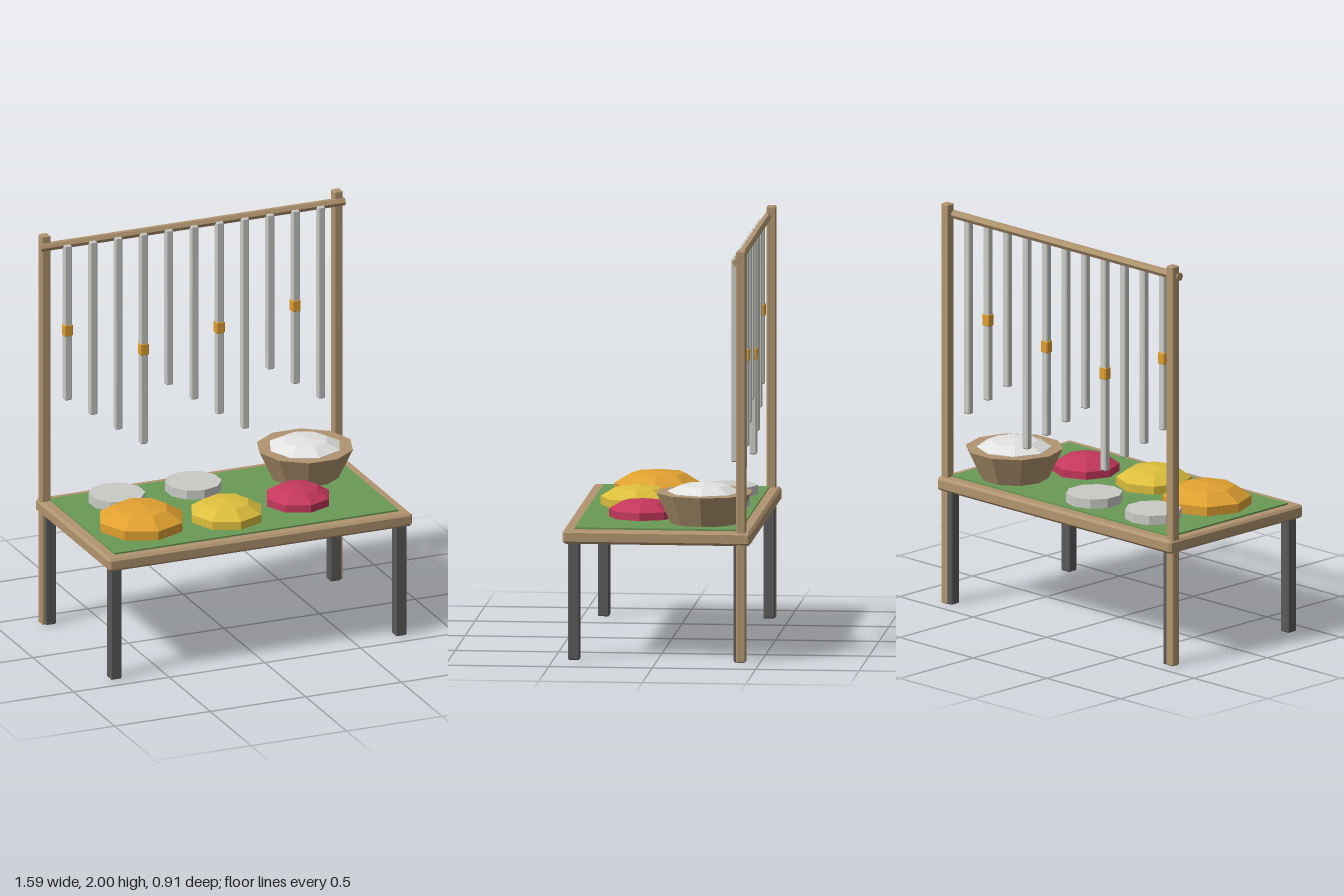
import * as THREE from 'three';
import { ConvexGeometry } from 'three/addons/geometries/ConvexGeometry.js';

const mat = (name, color) => new THREE.MeshStandardMaterial({ name, color, flatShading: true });

// Box with chamfered edges
function chamferBox(w, h, d, b) {
  const pts = [];
  for (const x of [-w / 2, w / 2]) for (const y of [-h / 2, h / 2]) for (const z of [-d / 2, d / 2]) {
    const bx = b * Math.sign(x), by = b * Math.sign(y), bz = b * Math.sign(z);
    pts.push(
      new THREE.Vector3(x, y - by, z - bz),
      new THREE.Vector3(x - bx, y, z - bz),
      new THREE.Vector3(x - bx, y - by, z));
  }
  return new ConvexGeometry(pts);
}

export function createModel() {
  const group = new THREE.Group();
  const wood = mat('wood', 0xb0946f);
  const cloth = mat('green cloth', 0x6a9955);
  const iron = mat('dark iron', 0x5a5a5a);
  const pale = mat('pale grey', 0xcacac6);
  const orange = mat('orange', 0xe0a030);
  const yellow = mat('yellow', 0xdcbe3c);
  const red = mat('crimson', 0xc4385c);
  const white = mat('white', 0xe2e2e0);

  const add = (name, geometry, material, x, y, z) => {
    const mesh = new THREE.Mesh(geometry, material);
    mesh.name = name;
    mesh.position.set(x, y, z);
    group.add(mesh);
    return mesh;
  };

  // Table top and cloth
  add('tableTop', chamferBox(1.59, 0.066, 0.91, 0.012), wood, 0, 0.6, 0);
  add('clothCover', new THREE.BoxGeometry(1.485, 0.012, 0.8), cloth, 0, 0.635, 0);

  // Legs and tall back posts
  const legGeo = chamferBox(0.056, 0.57, 0.056, 0.005);
  const postGeo = chamferBox(0.046, 2, 0.046, 0.005);
  for (const s of [-1, 1]) {
    for (const z of [-0.4, 0.4]) add('leg', legGeo, iron, s * 0.745, 0.285, z);
    add('post', postGeo, wood, s * 0.765, 1, -0.408);
  }

  // Hanging rail
  const rail = new THREE.CylinderGeometry(0.021, 0.021, 1.59, 6).rotateZ(Math.PI / 2);
  add('rail', rail, wood, 0, 1.945, -0.388);

  // Hanging strands in four repeating lengths, every third one banded
  const bandY = { 0: 1.51, 3: 1.353, 6: 1.405, 9: 1.457 };
  const bandGeo = chamferBox(0.044, 0.06, 0.04, 0.004);
  for (let i = 0; i < 11; i++) {
    const x = (i - 5) * 0.1325;
    const length = 0.797 + 0.095 * (i % 4);
    add('strand', chamferBox(0.038, length, 0.035, 0.005), pale, x, 1.947 - length / 2, -0.368);
    if (i in bandY) add('strandBand', bandGeo, orange, x, bandY[i], -0.368);
  }

  // Flattened faceted heaps
  const heap = (name, material, x, y, z, r, h) =>
    add(name, new THREE.SphereGeometry(1, 8, 5).scale(r, h, r), material, x, y, z);
  heap('orangeHeap', orange, -0.48, 0.655, 0.11, 0.225, 0.1);
  heap('yellowHeap', yellow, -0.06, 0.655, 0.17, 0.19, 0.085);
  heap('redHeap', red, 0.34, 0.655, 0.11, 0.17, 0.075);

  // Flat round dishes
  const dishGeo = new THREE.CylinderGeometry(0.137, 0.137, 0.05, 10);
  for (const x of [-0.46, -0.06]) add('dish', dishGeo, pale, x, 0.662, -0.235);

  // Filled bowl
  const bowlGeo = new THREE.CylinderGeometry(0.237, 0.165, 0.152, 10).rotateY(Math.PI / 2);
  add('bowl', bowlGeo, wood, 0.512, 0.714, -0.207);
  heap('bowlFilling', white, 0.512, 0.773, -0.207, 0.19, 0.063);

  return group;
}
